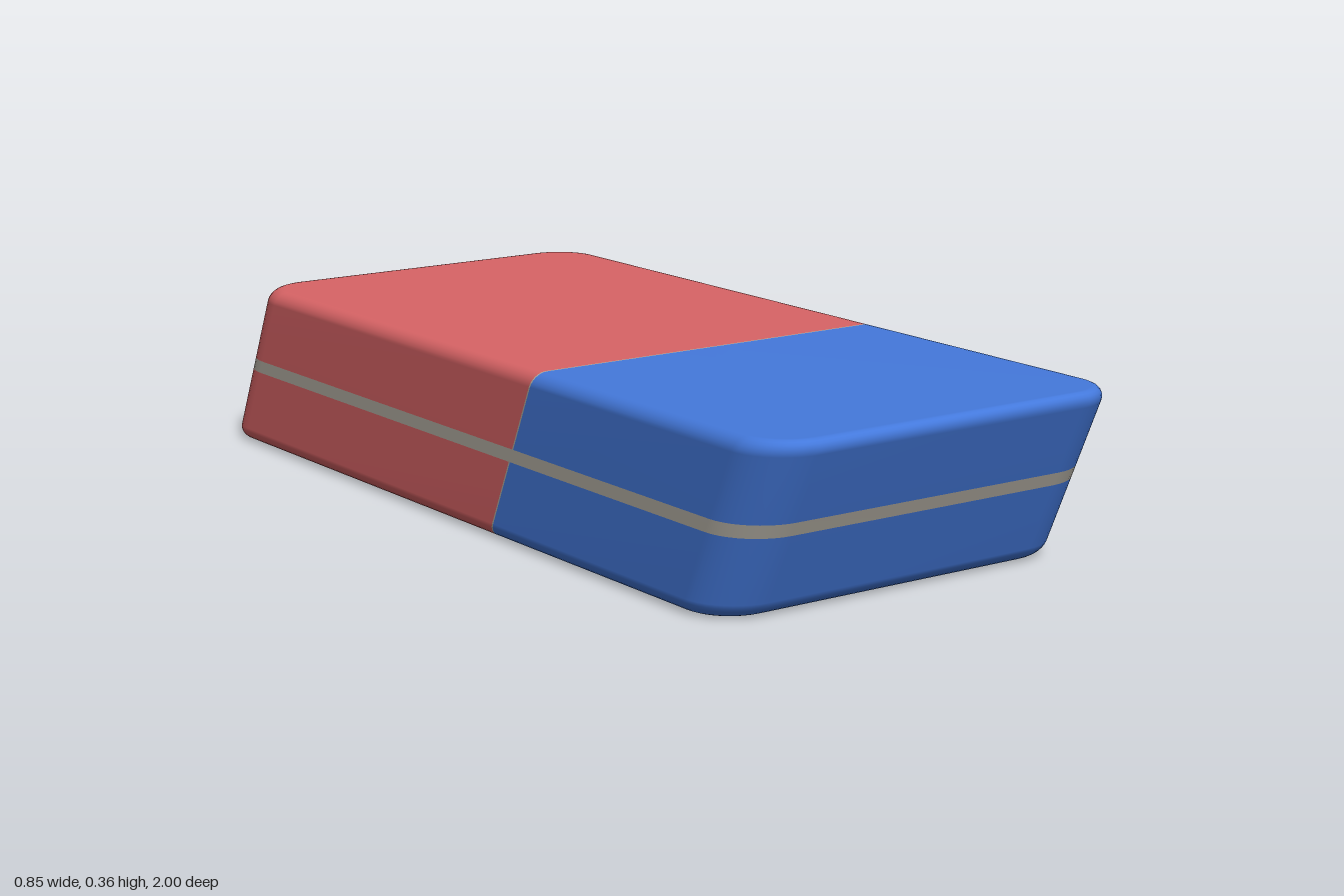
import * as THREE from 'three';

const HALF_WIDTH = 0.423, HALF_LENGTH = 0.93, HEIGHT = 0.36;
const EDGE = 0.03, CORNER = 0.11, SLANT = 0.45;
const SEAM_BACK = 0.181, SEAM_FRONT = 0.185;

const paint = (name, color) => {
  const m = new THREE.MeshStandardMaterial({ color });
  m.name = name;
  return m;
};

// Height levels with their inset: rounded bottom edge, stripe, rounded top edge
function sideProfile() {
  const bottom = [], top = [], steps = 6;
  for (let i = 0; i <= steps; i++) {
    const a = (i / steps) * Math.PI / 2;
    const inset = EDGE * (1 - Math.sin(a)), y = EDGE * (1 - Math.cos(a));
    bottom.push([y, inset]);
    top.unshift([HEIGHT - y, inset]);
  }
  return [...bottom, [0.168, 0], [0.195, 0], ...top];
}

// Half of a rounded rectangle, from the seam around one end and back
function endOutline(inset, sign, seam) {
  const w = HALF_WIDTH - inset, l = HALF_LENGTH - inset, r = CORNER - inset;
  const half = [[w, sign * seam]];
  for (const side of [1, -1]) {
    for (let i = 0; i <= 10; i++) {
      const a = ((side > 0 ? 0 : 10) + i) / 20 * Math.PI;
      half.push([side * (w - r) + r * Math.cos(a), l - r + r * Math.sin(a)]);
    }
  }
  half.push([-w, sign * seam]);
  return half.map(([x, z]) => [sign * x, sign * z]);
}

// Thin outline for the wrap-around seam
function seamOutline(inset) {
  const w = HALF_WIDTH - inset;
  return [[w, SEAM_BACK], [w, SEAM_FRONT], [-w, SEAM_FRONT], [-w, SEAM_BACK]];
}

// Stack slanted outlines into a skin, closing top and bottom; group 1 is the stripe
function slantedLoft(outline, seam) {
  const profile = sideProfile();
  const count = outline(0).length;
  const cap = new Array(count).fill([0, seam]);
  const rings = [
    { y: 0, points: cap },
    ...profile.map(([y, inset]) => ({ y, points: outline(inset) })),
    { y: HEIGHT, points: cap },
  ];
  const positions = [], index = [];
  const geometry = new THREE.BufferGeometry();
  rings.forEach(({ y, points }, j) => {
    for (const [x, z] of points) positions.push(x, y, z + SLANT * (y - HEIGHT / 2));
    if (j === rings.length - 1) return;
    const start = index.length;
    for (let i = 0; i < count - 1; i++) {
      const a = j * count + i, b = a + 1, c = a + count, d = c + 1;
      if (j > 0) index.push(a, c, b);
      if (j < rings.length - 2) index.push(b, c, d);
    }
    const isStripe = y === 0.168;
    geometry.addGroup(start, index.length - start, isStripe ? 1 : 0);
  });
  geometry.setAttribute('position', new THREE.Float32BufferAttribute(positions, 3));
  geometry.setIndex(index);
  geometry.computeVertexNormals();
  return geometry;
}

export function createModel() {
  const red = paint('red rubber', 0xd96466);
  const blue = paint('blue rubber', 0x4479dc);
  const grey = paint('grey stripe', 0xb3aea3);
  const group = new THREE.Group();
  group.name = 'eraser';

  const add = (name, geometry, materials) => {
    const mesh = new THREE.Mesh(geometry, materials);
    mesh.name = name;
    group.add(mesh);
  };

  // Two rubber ends, each with the stripe running around it
  add('blueEnd', slantedLoft(i => endOutline(i, 1, SEAM_FRONT), SEAM_FRONT), [blue, grey]);
  add('redEnd', slantedLoft(i => endOutline(i, -1, SEAM_BACK), SEAM_BACK), [red, grey]);

  // Fine line between the ends
  const seam = slantedLoft(seamOutline, SEAM_BACK).toNonIndexed();
  seam.computeVertexNormals();
  add('seam', seam, [grey, grey]);

  return group;
}
